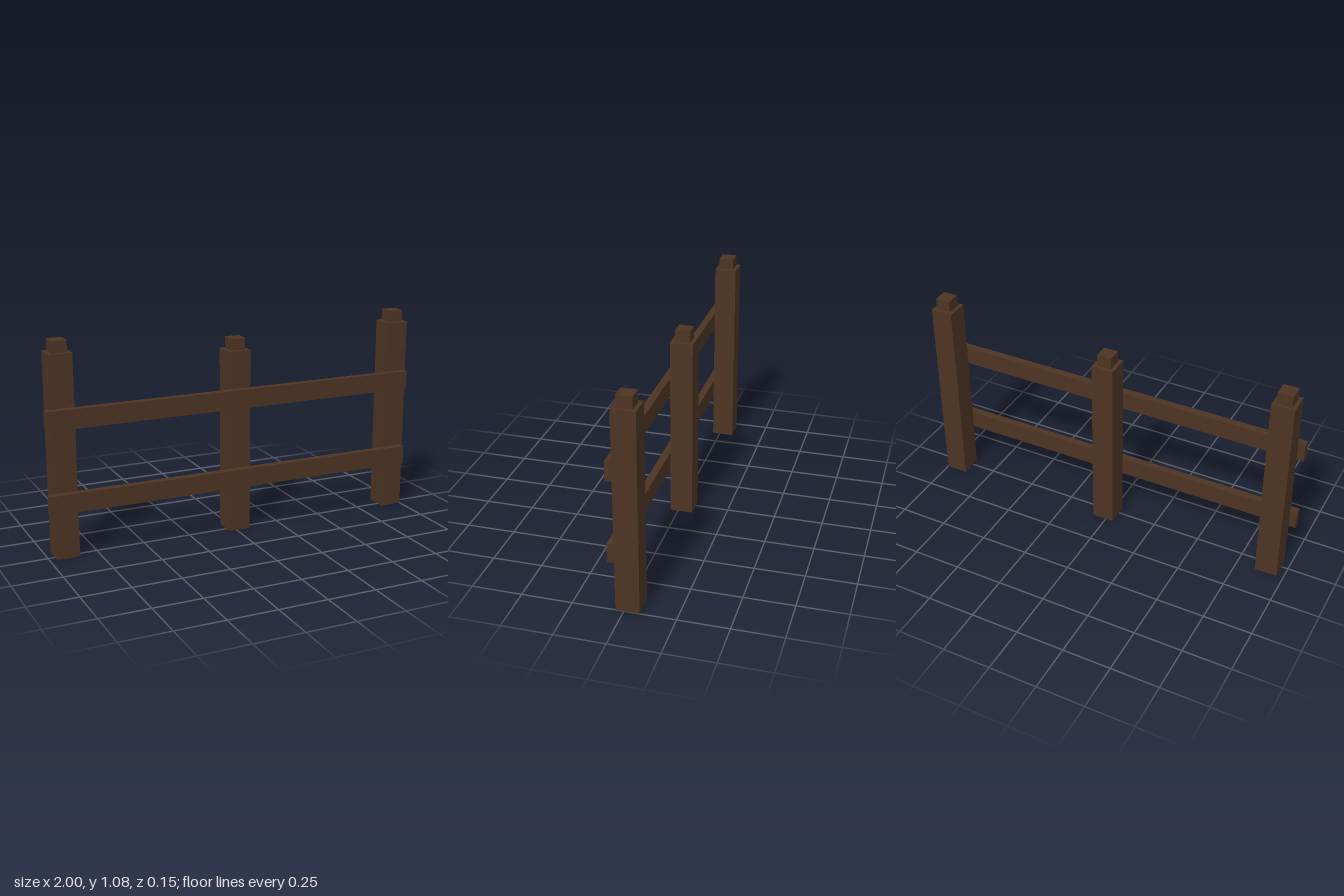
import * as THREE from 'three';

export function createModel() {
  const model = new THREE.Group();
  model.name = 'fence';

  const wood = new THREE.MeshStandardMaterial({ color: 0x4d3423 });
  wood.name = 'darkWood';

  // Box standing on height y
  function addBox(parent, name, w, h, d, x, y, z) {
    const mesh = new THREE.Mesh(new THREE.BoxGeometry(w, h, d), wood);
    mesh.name = name;
    mesh.position.set(x, y + h / 2, z);
    parent.add(mesh);
  }

  // Posts with narrower caps; the middle one is shorter
  const posts = [
    ['rightPost', -0.907, 1.02],
    ['middlePost', 0.017, 0.95],
    ['leftPost', 0.942, 1.02],
  ];
  for (const [name, x, height] of posts) {
    const post = new THREE.Group();
    post.name = name;
    post.position.set(x, 0, -0.018);
    addBox(post, 'shaft', 0.116, height, 0.116, 0, 0, 0);
    addBox(post, 'cap', 0.077, 0.06, 0.077, 0, height, 0);
    model.add(post);
  }

  // Rails across the front of the posts
  addBox(model, 'lowerRail', 1.985, 0.096, 0.038, -0.0075, 0.244, 0.059);
  addBox(model, 'upperRail', 1.985, 0.096, 0.038, -0.0075, 0.662, 0.059);

  return model;
}
